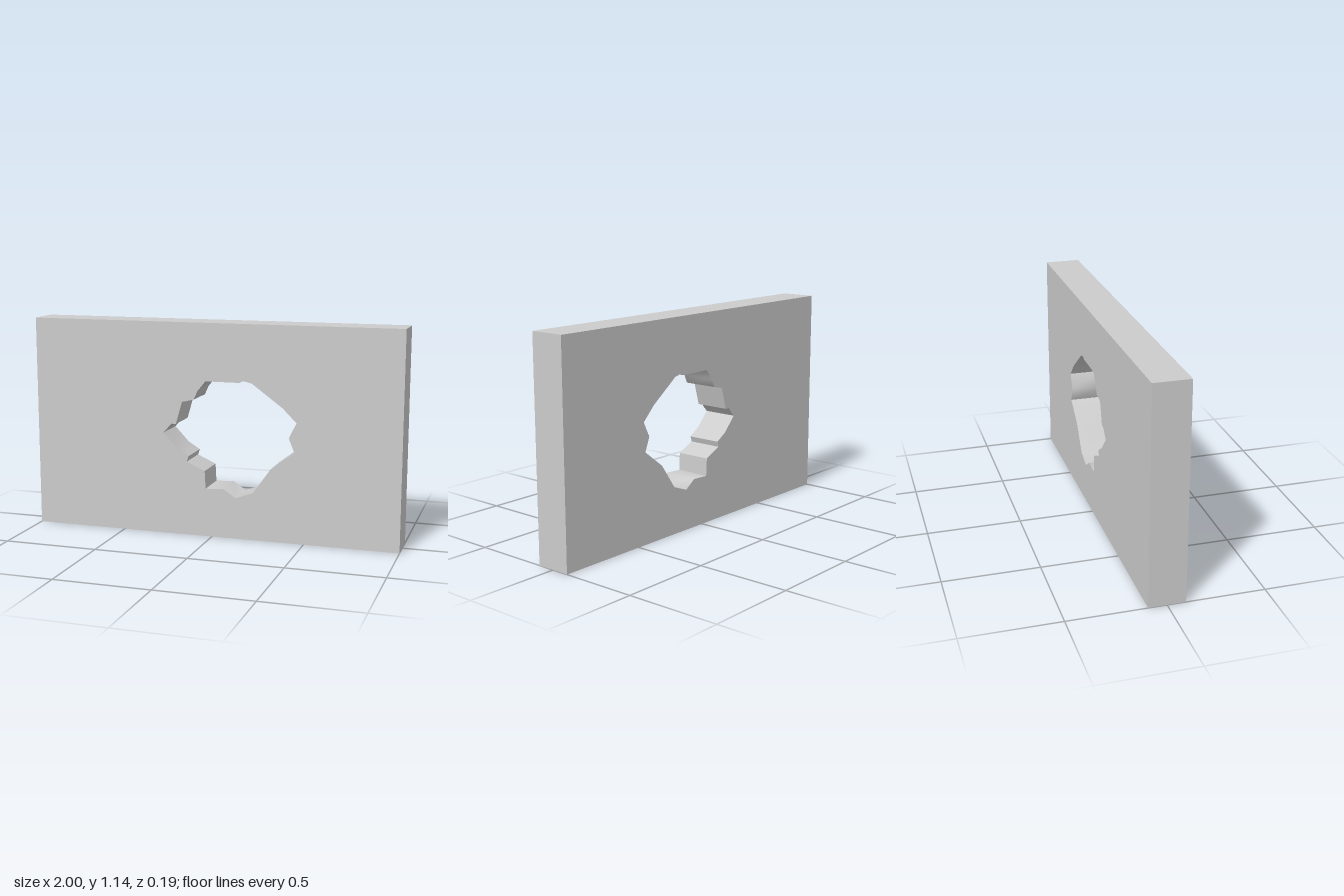
import * as THREE from 'three';
import { toCreasedNormals } from 'three/addons/utils/BufferGeometryUtils.js';

const WIDTH = 2, HEIGHT = 1.14, DEPTH = 0.19;

// Ragged edge of the hole, clockwise from its leftmost tip
const HOLE = [
  [-0.27, 0.55], [-0.225, 0.6], [-0.2, 0.6], [-0.165, 0.72], [-0.1, 0.735],
  [-0.08, 0.78], [-0.035, 0.835], [0.15, 0.835], [0.17, 0.845], [0.215, 0.835],
  [0.38, 0.715], [0.455, 0.64], [0.415, 0.56], [0.445, 0.485], [0.32, 0.39],
  [0.225, 0.255], [0.13, 0.22], [0.065, 0.265], [-0.035, 0.26], [-0.04, 0.355],
  [-0.14, 0.4], [-0.13, 0.43], [-0.195, 0.47],
];

export function createModel() {
  const group = new THREE.Group();
  group.name = 'brokenWall';

  // Rectangular slab outline with the hole cut through it
  const outline = new THREE.Shape([
    new THREE.Vector2(-WIDTH / 2, 0),
    new THREE.Vector2(WIDTH / 2, 0),
    new THREE.Vector2(WIDTH / 2, HEIGHT),
    new THREE.Vector2(-WIDTH / 2, HEIGHT),
  ]);
  outline.holes.push(new THREE.Path(HOLE.map(([x, y]) => new THREE.Vector2(x, y))));

  const slab = new THREE.ExtrudeGeometry(outline, { depth: DEPTH, bevelEnabled: false });
  slab.translate(0, 0, -DEPTH / 2);

  // Soft shading inside the hole, sharp edges on the slab
  const wall = new THREE.Mesh(
    toCreasedNormals(slab, THREE.MathUtils.degToRad(60)),
    new THREE.MeshStandardMaterial({ color: 0xcccccc })
  );
  wall.name = 'wallWithHole';
  group.add(wall);
  return group;
}
